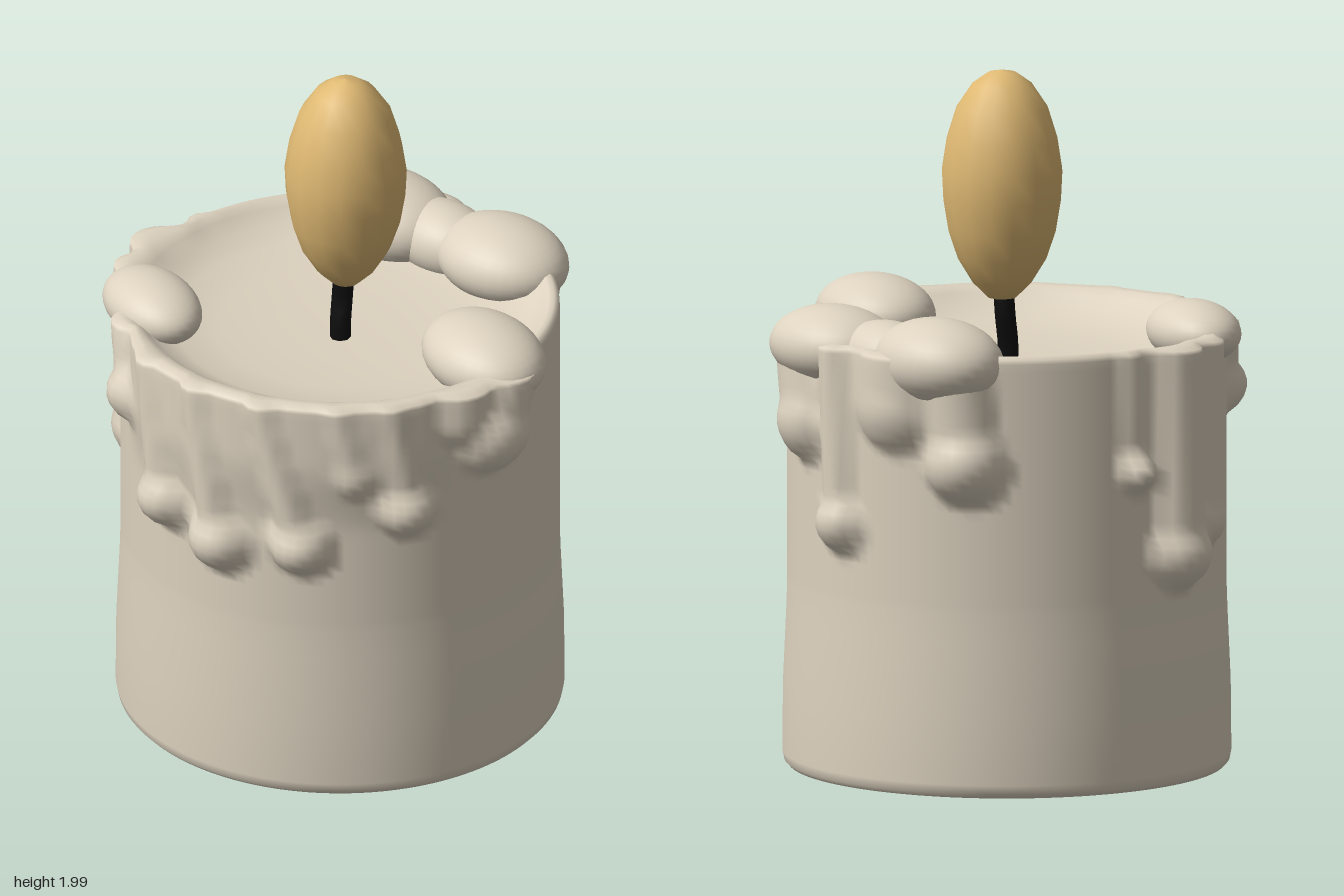
import * as THREE from 'three';
import { mergeVertices } from 'three/addons/utils/BufferGeometryUtils.js';

const RAD = Math.PI / 180;
const R = 0.62;

// Wax runs: angle at the rim, angle at the tip (degrees from +z towards +x),
// height of the tip, run half-width, run depth, tip radius, tip depth
const drips = [
  [-30, -23, 1.08, 0.06, 0.04, 0.09, 0.07],
  [-9, -3, 0.85, 0.06, 0.055, 0.095, 0.085],
  [9, 16, 0.79, 0.06, 0.055, 0.1, 0.085],
  [28, 39, 0.82, 0.06, 0.055, 0.095, 0.085],
  [48, 53, 1.05, 0.06, 0.045, 0.08, 0.05],
  [62, 67, 0.93, 0.06, 0.045, 0.09, 0.075],
  [100, 93, 1.1, 0.12, 0.08, 0.13, 0.1],
  [84, 84, 1.18, 0.1, 0.06, 0.1, 0.06],
  [165, 170, 1.04, 0.12, 0.065, 0.12, 0.08],
  [184, 187, 0.77, 0.06, 0.045, 0.09, 0.07],
  [206, 205, 1.12, 0.13, 0.06, 0.12, 0.065],
  [221, 225, 0.97, 0.1, 0.065, 0.12, 0.1],
  [270, 272, 0.93, 0.04, 0.02, 0.06, 0.07],
  [286, 287, 0.68, 0.09, 0.075, 0.11, 0.1],
  [300, 300, 0.76, 0.07, 0.055, 0.09, 0.06],
];

const dome = (q) => Math.pow(Math.max(0, 1 - q * q), 0.75);
const wrap = (a) => Math.atan2(Math.sin(a), Math.cos(a));

// Thickness of the run wax at an angle and height on the wall
function waxThickness(angle, y) {
  let t = 0;
  for (const [a0, a1, tipY, w, depth, tipR, tipDepth] of drips) {
    const k = THREE.MathUtils.clamp((1.28 - y) / (1.28 - tipY), 0, 1);
    const across = wrap(angle - (a0 + (a1 - a0) * k) * RAD) * R;
    const below = Math.max(0, tipY - y);
    t = Math.max(t, depth * dome(Math.hypot(across, below) / w));
    const aside = wrap(angle - a1 * RAD) * R;
    t = Math.max(t, tipDepth * dome(Math.hypot(aside, y - tipY) / tipR));
  }
  // Thin sheet joining the front runs
  const sheet = THREE.MathUtils.smoothstep(y, 0.85, 1.1)
    * (1 - THREE.MathUtils.smoothstep(Math.abs(wrap(angle - 28 * RAD)), 0.7, 0.95));
  return Math.max(t, 0.03 * sheet);
}

// Candle body: turned profile with a hollow top, swollen where wax has run
function bodyGeometry() {
  const p = [[0, 0.01], [0.4, 0.01], [0.61, 0.01], [0.62, 0.012], [0.632, 0.025], [0.637, 0.05], [0.635, 0.25], [0.626, 0.45]];
  for (let y = 0.54; y < 1.262; y += 0.024) p.push([R + 0.003, y]);
  p.push([0.621, 1.272], [0.608, 1.282], [0.592, 1.278], [0.575, 1.262], [0.54, 1.23],
    [0.47, 1.2], [0.35, 1.182], [0.18, 1.175], [0, 1.172]);
  let g = new THREE.LatheGeometry(p.map(([r, y]) => new THREE.Vector2(r, y)), 150);
  const pos = g.attributes.position;
  for (let i = 0; i < pos.count; i++) {
    const x = pos.getX(i), y = pos.getY(i), z = pos.getZ(i);
    const r = Math.hypot(x, z);
    if (r < 0.585 || y < 0.5) continue;
    const share = r < 0.6 ? 0.3 : r < 0.615 ? 0.65 : 1;
    const s = (r + share * waxThickness(Math.atan2(x, z), y)) / r;
    pos.setXYZ(i, x * s, y, z * s);
  }
  g.deleteAttribute('uv');
  g.deleteAttribute('normal');
  g = mergeVertices(g, 1e-5);
  g.computeVertexNormals();
  return g;
}

export function createModel() {
  const wax = new THREE.MeshStandardMaterial({ color: 0xddd2bf });
  wax.name = 'cream wax';
  const amber = new THREE.MeshStandardMaterial({ color: 0xdfb973 });
  amber.name = 'amber flame';
  const black = new THREE.MeshStandardMaterial({ color: 0x0d0d0d });
  black.name = 'burnt wick';

  const model = new THREE.Group();
  model.name = 'candle';
  const add = (name, geometry, material) => {
    const mesh = new THREE.Mesh(geometry, material);
    mesh.name = name;
    model.add(mesh);
    return mesh;
  };

  add('candleBody', bodyGeometry(), wax);

  // Soft lumps of wax on the rim: centre, radii, turn
  const lumps = [
    [-0.31, 1.25, -0.445, 0.215, 0.125, 0.165, 0.1],
    [-0.12, 1.24, -0.49, 0.18, 0.105, 0.12, 0.1],
    [0.09, 1.25, -0.53, 0.21, 0.115, 0.165, 0.1],
    [0.48, 1.25, -0.125, 0.215, 0.11, 0.16, -0.15],
    [-0.34, 1.26, 0.41, 0.185, 0.09, 0.125, -0.2],
  ];
  lumps.forEach(([x, y, z, rx, ry, rz, turn]) => {
    const lump = add('waxLump', new THREE.SphereGeometry(1, 32, 20), wax);
    lump.position.set(x, y, z);
    lump.scale.set(rx, ry, rz);
    lump.rotation.y = turn;
  });

  // Bent wick
  const bend = new THREE.CatmullRomCurve3([
    new THREE.Vector3(0.03, 1.15, 0.025),
    new THREE.Vector3(0.025, 1.22, 0.02),
    new THREE.Vector3(0.015, 1.29, 0.005),
    new THREE.Vector3(0.02, 1.4, 0),
  ]);
  add('wick', new THREE.TubeGeometry(bend, 10, 0.03, 8), black);

  // Egg-shaped flame
  const flameProfile = [[0, 1.335], [0.04, 1.345], [0.085, 1.39], [0.128, 1.46], [0.155, 1.54], [0.17, 1.63],
    [0.174, 1.71], [0.16, 1.8], [0.132, 1.89], [0.085, 1.96], [0.04, 1.992], [0, 2]];
  const flame = add('flame', new THREE.LatheGeometry(flameProfile.map(([r, y]) => new THREE.Vector2(r, y)), 16), amber);
  flame.position.x = 0.024;

  return model;
}
